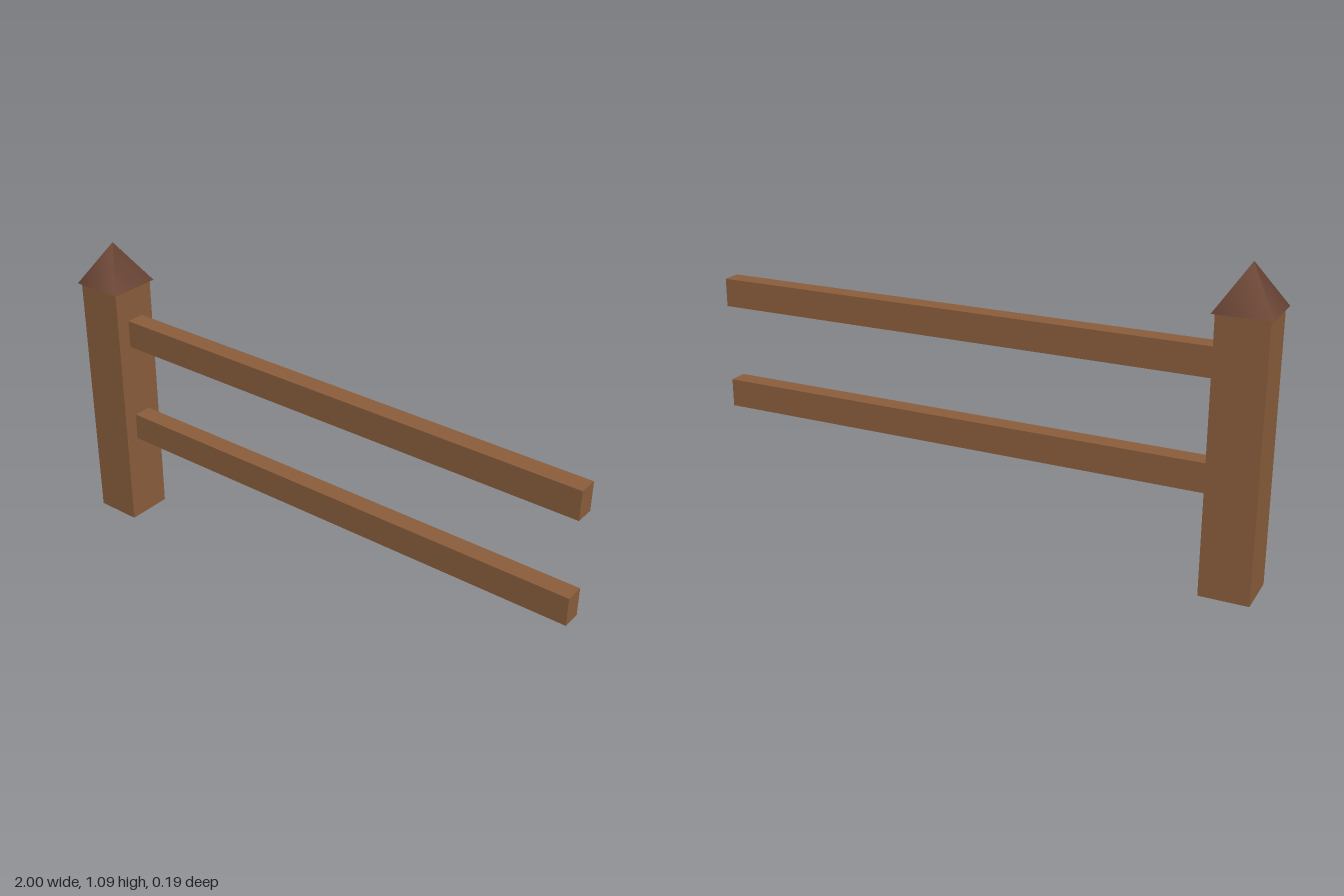
import * as THREE from 'three';

export function createModel() {
  const model = new THREE.Group();
  model.name = 'fenceSection';

  const wood = new THREE.MeshStandardMaterial({ color: 0x8b5e3c });
  wood.name = 'brown wood';
  const darkWood = new THREE.MeshStandardMaterial({ color: 0x6b4636 });
  darkWood.name = 'dark brown wood';

  const add = (name, geometry, material, x, y) => {
    const mesh = new THREE.Mesh(geometry, material);
    mesh.name = name;
    mesh.position.set(x, y, 0);
    model.add(mesh);
  };

  const postX = -0.905, postWidth = 0.17, postHeight = 0.938;

  // Square post
  add('post', new THREE.BoxGeometry(postWidth, postHeight, postWidth), wood, postX, postHeight / 2);

  // Four-sided pointed cap, slightly wider than the post
  const capHeight = 0.15;
  const cap = new THREE.ConeGeometry(0.095 * Math.SQRT2, capHeight, 4).rotateY(Math.PI / 4);
  add('postCap', cap, darkWood, postX, postHeight + capHeight / 2);

  // Two rails running from the post to the open end
  const railStart = postX + postWidth / 2, railLength = 1 - railStart;
  for (const [name, y] of [['lowerRail', 0.385], ['upperRail', 0.768]]) {
    add(name, new THREE.BoxGeometry(railLength, 0.102, 0.068), wood, railStart + railLength / 2, y);
  }

  return model;
}
